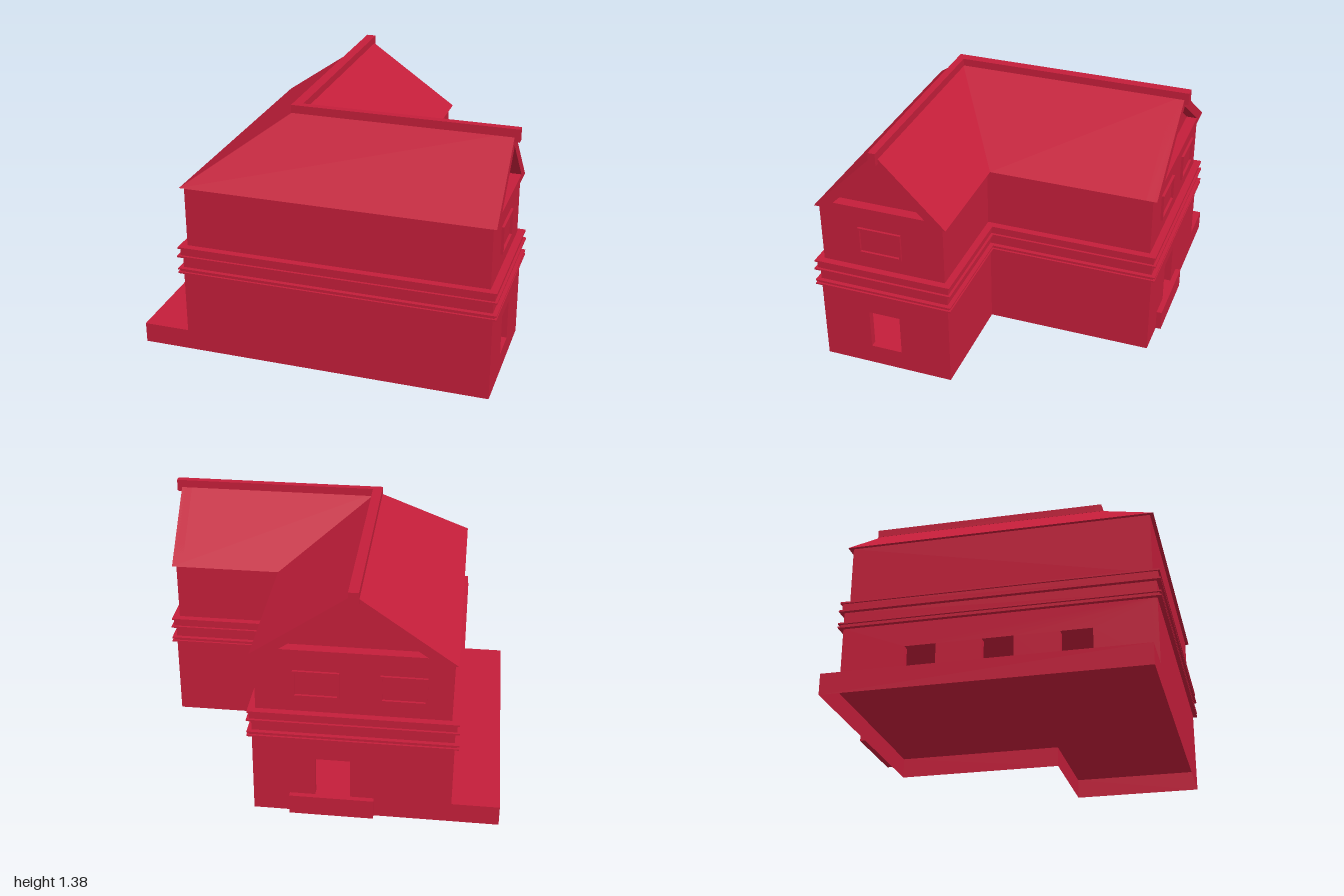
import * as THREE from 'three';

const material = new THREE.MeshStandardMaterial({ color: 0xc41e3a, side: THREE.DoubleSide, flatShading: true });

function add(parent, name, geometry) {
  const mesh = new THREE.Mesh(geometry, material);
  mesh.name = name;
  parent.add(mesh);
  return mesh;
}

function box(parent, name, x0, x1, y0, y1, z0, z1) {
  add(parent, name, new THREE.BoxGeometry(x1 - x0, y1 - y0, z1 - z0))
    .position.set((x0 + x1) / 2, (y0 + y1) / 2, (z0 + z1) / 2);
}

const polygon = (points) => new THREE.Shape(points.map(([x, y]) => new THREE.Vector2(x, y)));
const rectangle = (x0, x1, y0, y1) => polygon([[x0, y0], [x1, y0], [x1, y1], [x0, y1]]);
const extrude = (shape, depth) => new THREE.ExtrudeGeometry(shape, { depth, bevelEnabled: false });

// L-shaped footprint as [x, z] corners; outward offset o, optional left edge
function footprint(o, left = -0.74 - o) {
  return [[left, 0.845 + o], [0.97 + o, 0.845 + o], [0.97 + o, 0.1 - o],
    [0.34 + o, 0.1 - o], [0.34 + o, -0.845 - o], [left, -0.845 - o]];
}
const planShape = (corners) => polygon(corners.map(([x, z]) => [x, -z]));

// Horizontal slab of the footprint
function slab(parent, name, offset, y0, y1) {
  const geometry = extrude(planShape(footprint(offset)), y1 - y0);
  add(parent, name, geometry.rotateX(-Math.PI / 2)).position.y = y0;
}

// Flat sheet of the footprint
function sheet(parent, name, corners, y) {
  const geometry = new THREE.ShapeGeometry(planShape(corners));
  add(parent, name, geometry.rotateX(-Math.PI / 2)).position.y = y;
}

// Calls build(length, place) for every edge; place() turns a local wall outward
function eachEdge(corners, build) {
  corners.forEach(([x, z], i) => {
    const [x2, z2] = corners[(i + 1) % corners.length];
    const angle = Math.atan2(z - z2, x2 - x);
    build(Math.hypot(x2 - x, z2 - z), i, (mesh) => {
      mesh.position.set(x, 0, z);
      mesh.rotation.y = angle;
    });
  });
}

// Raised rectangular frame centred on its origin, facing local +z
function windowFrame(parent, x, z, angle) {
  const w = 0.123, h = 0.078, b = 0.011;
  const shape = rectangle(-w, w, -h, h);
  shape.holes.push(rectangle(-w + b, w - b, -h + b, h - b));
  const mesh = add(parent, 'windowFrame', extrude(shape, 0.016));
  mesh.position.set(x, 0.807, z);
  mesh.rotation.y = angle;
}

// Gable triangle with a recessed centre, facing local +z
function gable(parent, half, innerHalf, x, z, angle) {
  const group = new THREE.Group();
  group.name = 'gable';
  const rise = 0.375, innerRise = rise * innerHalf / half;
  const shape = polygon([[-half, 0], [half, 0], [0, rise]]);
  const inner = [[-innerHalf, 0.04], [innerHalf, 0.04], [0, 0.04 + innerRise]];
  shape.holes.push(polygon(inner));
  add(group, 'gableBorder', extrude(shape, 0.06)).position.z = -0.06;
  add(group, 'gablePanel', new THREE.ShapeGeometry(polygon(inner))).position.z = -0.06;
  group.position.set(x, 0.98, z);
  group.rotation.y = angle;
  parent.add(group);
}

// Sloping faces of the two crossing roofs
function roofGeometry() {
  const y = 0.98, top = 1.355;
  const a = [-0.74, y, 0.845], b = [0.97, y, 0.845], c = [0.97, y, 0.095], d = [0.34, y, 0.095];
  const e = [0.34, y, -0.85], f = [-0.74, y, -0.85];
  const p = [0.97, top, 0.47], q = [-0.2, top, 0.47], r = [-0.2, top, -0.85];
  const quads = [[a, b, p, q], [c, d, q, p], [d, e, r, q], [f, a, q, r]];
  const positions = quads.flatMap(([i, j, k, l]) => [i, j, k, i, k, l]).flat();
  const geometry = new THREE.BufferGeometry();
  geometry.setAttribute('position', new THREE.Float32BufferAttribute(positions, 3));
  geometry.computeVertexNormals();
  return geometry;
}

export function createModel() {
  const model = new THREE.Group();
  model.name = 'house';

  // Hollow plinth with the terrace on the left and a step at the back
  const base = footprint(0, -1);
  const floorY = 0.115;
  eachEdge(base, (length, i, place) => {
    place(add(model, 'plinthSide', new THREE.PlaneGeometry(length, floorY).translate(length / 2, floorY / 2, 0)));
  });
  sheet(model, 'floor', base, floorY);
  box(model, 'backStep', -0.32, 0.14, 0, floorY, -0.875, -0.845);

  // Ground floor walls; openings are given as distances along each wall
  const openings = { 1: [[0.275, 0.455]], 4: [[0.34, 0.53]], 5: [[0.35, 0.52], [0.77, 0.94], [1.185, 1.355]] };
  eachEdge(footprint(0), (length, i, place) => {
    // Openings reach the floor, so the outline steps around them
    const outline = [[0, floorY]];
    for (const [s0, s1] of openings[i] || []) {
      outline.push([s0, floorY], [s0, 0.347], [s1, 0.347], [s1, floorY]);
    }
    outline.push([length, floorY], [length, 0.485], [0, 0.485]);
    place(add(model, 'groundFloorWall', extrude(polygon(outline), 0.04).translate(0, 0, -0.04)));
  });

  // String courses between the floors
  [[0.024, 0.482, 0.49], [0.012, 0.49, 0.504], [0.024, 0.504, 0.512], [0, 0.512, 0.578],
    [0.024, 0.578, 0.587], [0.01, 0.587, 0.628], [0.02, 0.628, 0.637]]
    .forEach(([offset, y0, y1]) => slab(model, 'stringCourse', offset, y0, y1));

  // Upper floor and its windows
  slab(model, 'upperFloor', -0.02, 0.637, 0.98);
  windowFrame(model, 0.948, 0.483, Math.PI / 2);
  for (const x of [-0.465, -0.005]) windowFrame(model, x, -0.823, Math.PI);

  // Roof with gables and ridge beams
  add(model, 'roof', roofGeometry());
  sheet(model, 'soffit', footprint(0), 0.98);
  gable(model, 0.375, 0.26, 0.97, 0.47, Math.PI / 2);
  gable(model, 0.54, 0.385, -0.2, -0.85, Math.PI);
  box(model, 'frontRidge', -0.23, 0.998, 1.335, 1.38, 0.45, 0.49);
  box(model, 'backRidge', -0.23, -0.175, 1.335, 1.38, -0.875, 0.49);
  box(model, 'frontRidgeEnd', 0.97, 0.998, 1.31, 1.34, 0.45, 0.49);
  box(model, 'backRidgeEnd', -0.23, -0.175, 1.31, 1.34, -0.875, -0.85);

  return model;
}
